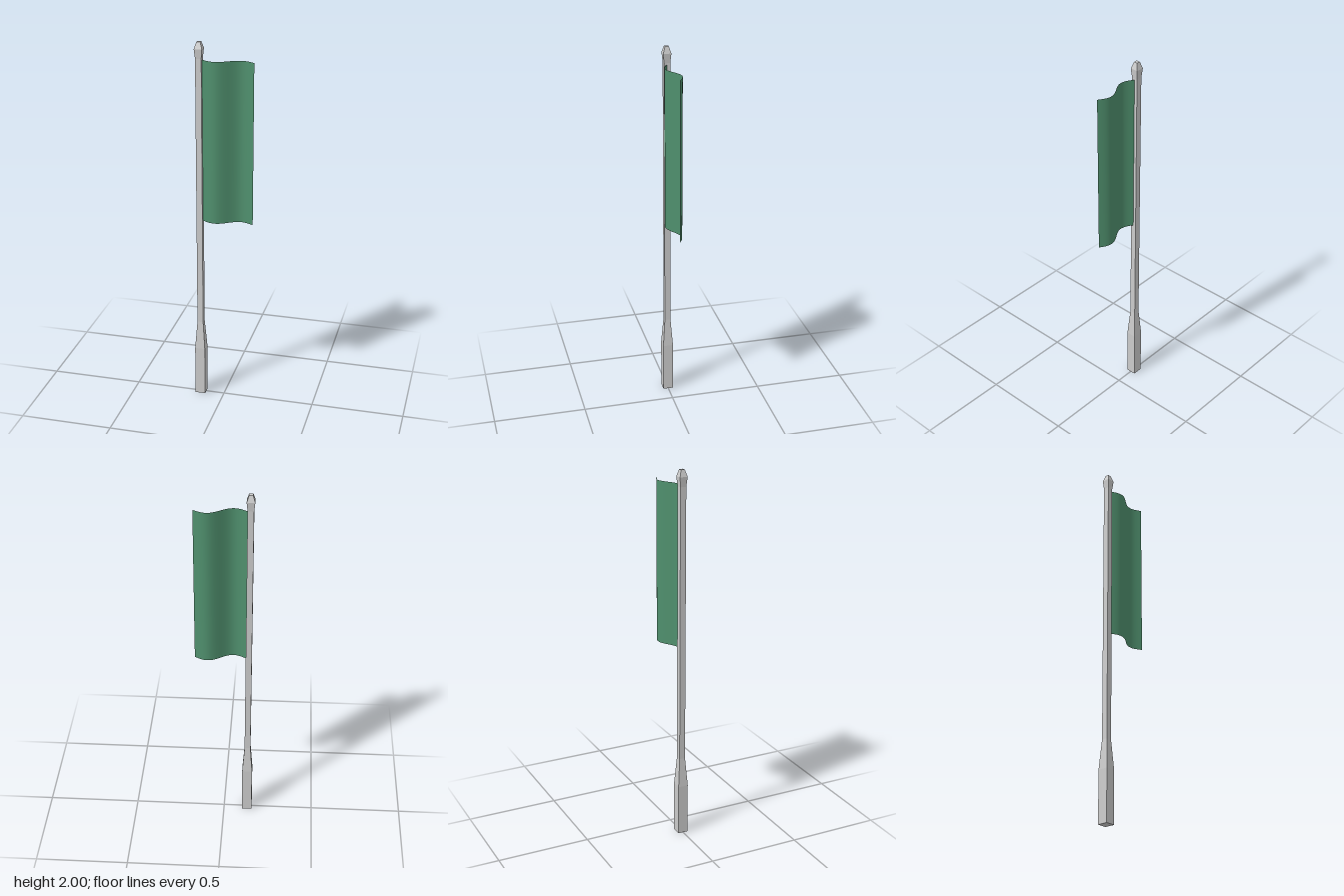
import * as THREE from 'three';

const POLE_X = -0.13;

// Square post section from [halfWidth, y] pairs, listed bottom to top
function squareLathe(name, profile, material) {
  const points = profile.map(([h, y]) => new THREE.Vector2(h * Math.SQRT2, y));
  const mesh = new THREE.Mesh(new THREE.LatheGeometry(points, 4, Math.PI / 4), material);
  mesh.name = name;
  mesh.position.x = POLE_X;
  return mesh;
}

export function createModel() {
  const group = new THREE.Group();
  group.name = 'flagpole';
  const grey = new THREE.MeshStandardMaterial({ color: 0xcccccc, flatShading: true });
  const green = new THREE.MeshStandardMaterial({ color: 0x4f8f6d, side: THREE.DoubleSide });

  // Pole: thick square foot tapering into a slim shaft
  group.add(squareLathe('pole', [
    [0, 0], [0.0275, 0], [0.0275, 0.28], [0.016, 0.44], [0.016, 1.915],
  ], grey));

  // Finial: flared, flat-topped cap
  group.add(squareLathe('finial', [
    [0.016, 1.915], [0.021, 1.965], [0.01, 2], [0, 2],
  ], grey));

  // Flag: thin sheet bent into one full wave
  const width = 0.27, height = 0.872, left = -0.115;
  const sheet = new THREE.PlaneGeometry(width, height, 32, 1);
  sheet.translate(left + width / 2, 1.472, 0);
  const pos = sheet.attributes.position;
  for (let i = 0; i < pos.count; i++) {
    const u = (pos.getX(i) - left) / width;
    pos.setZ(i, 0.028 * Math.sin(u * Math.PI * 2));
  }
  sheet.computeVertexNormals();
  const flag = new THREE.Mesh(sheet, green);
  flag.name = 'flag';
  group.add(flag);

  return group;
}
